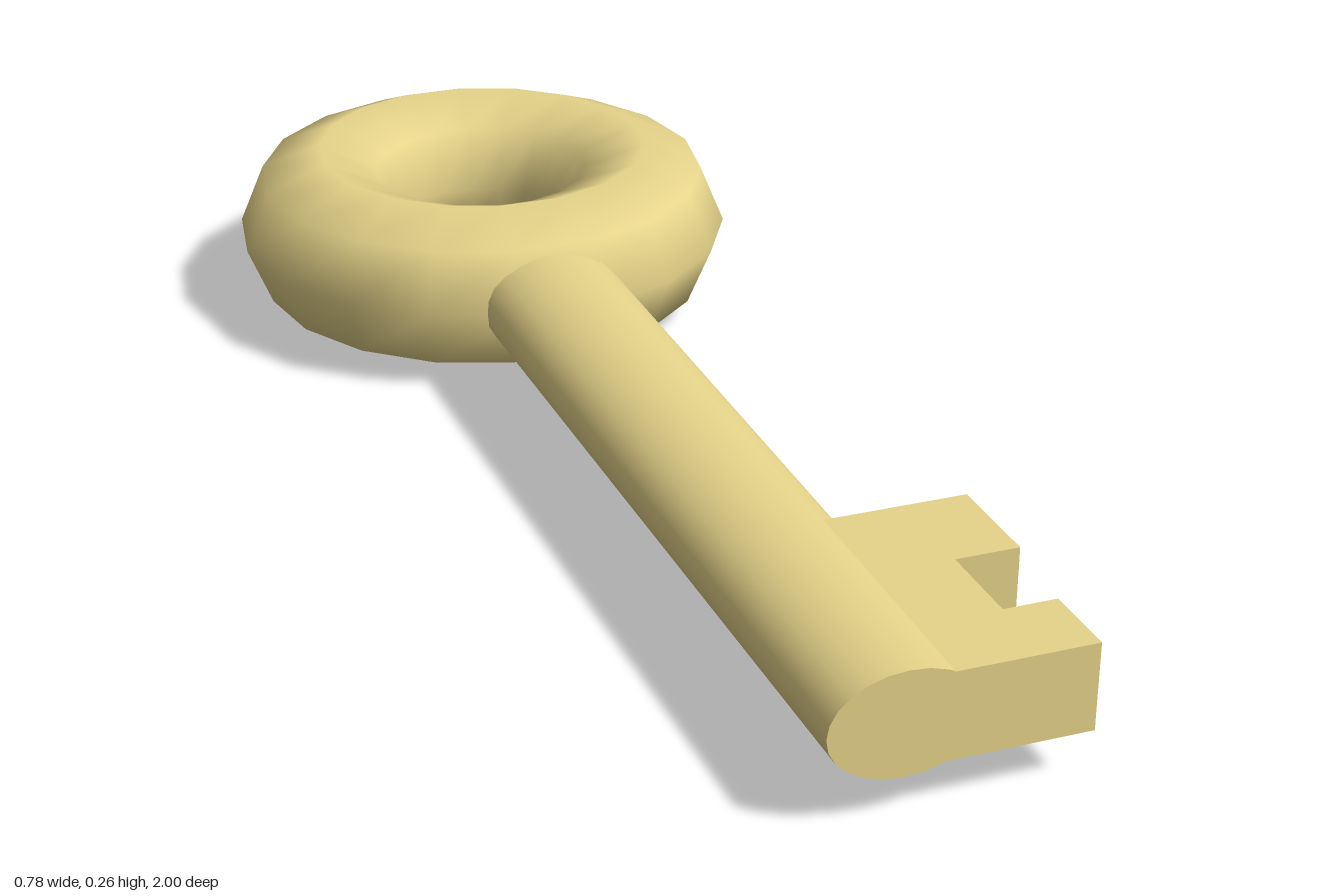
import * as THREE from 'three';

export function createModel() {
  const group = new THREE.Group();
  const brass = new THREE.MeshStandardMaterial({ color: 0xe6d48a });
  const midY = 0.13;

  const add = (name, geometry) => {
    const mesh = new THREE.Mesh(geometry, brass);
    mesh.name = name;
    group.add(mesh);
  };

  // Ring handle lying flat
  const bow = new THREE.TorusGeometry(0.26, 0.13, 8, 18);
  bow.rotateX(Math.PI / 2);
  bow.translate(0, midY, -0.616);
  add('bow', bow);

  // Flattened round shaft, tapering slightly to the tip, its back end sunk in the ring
  const back = -0.35, tip = 1;
  const shaft = new THREE.CylinderGeometry(0.103, 0.11, tip - back, 24);
  shaft.rotateX(Math.PI / 2);
  shaft.scale(1, 0.71, 1);
  shaft.translate(0, midY + 0.002, (tip + back) / 2);
  add('shaft', shaft);

  // Two-toothed bit, drawn in x and z and extruded downwards
  const outline = [
    [0, 0.61], [0.265, 0.61], [0.265, 0.76], [0.175, 0.76],
    [0.175, 0.89], [0.25, 0.89], [0.25, 1], [0, 1],
  ].map(([x, z]) => new THREE.Vector2(x, z));
  const bit = new THREE.ExtrudeGeometry(new THREE.Shape(outline), { depth: 0.122, bevelEnabled: false });
  bit.rotateX(Math.PI / 2);
  bit.translate(0, 0.191, 0);
  add('bit', bit);

  return group;
}
